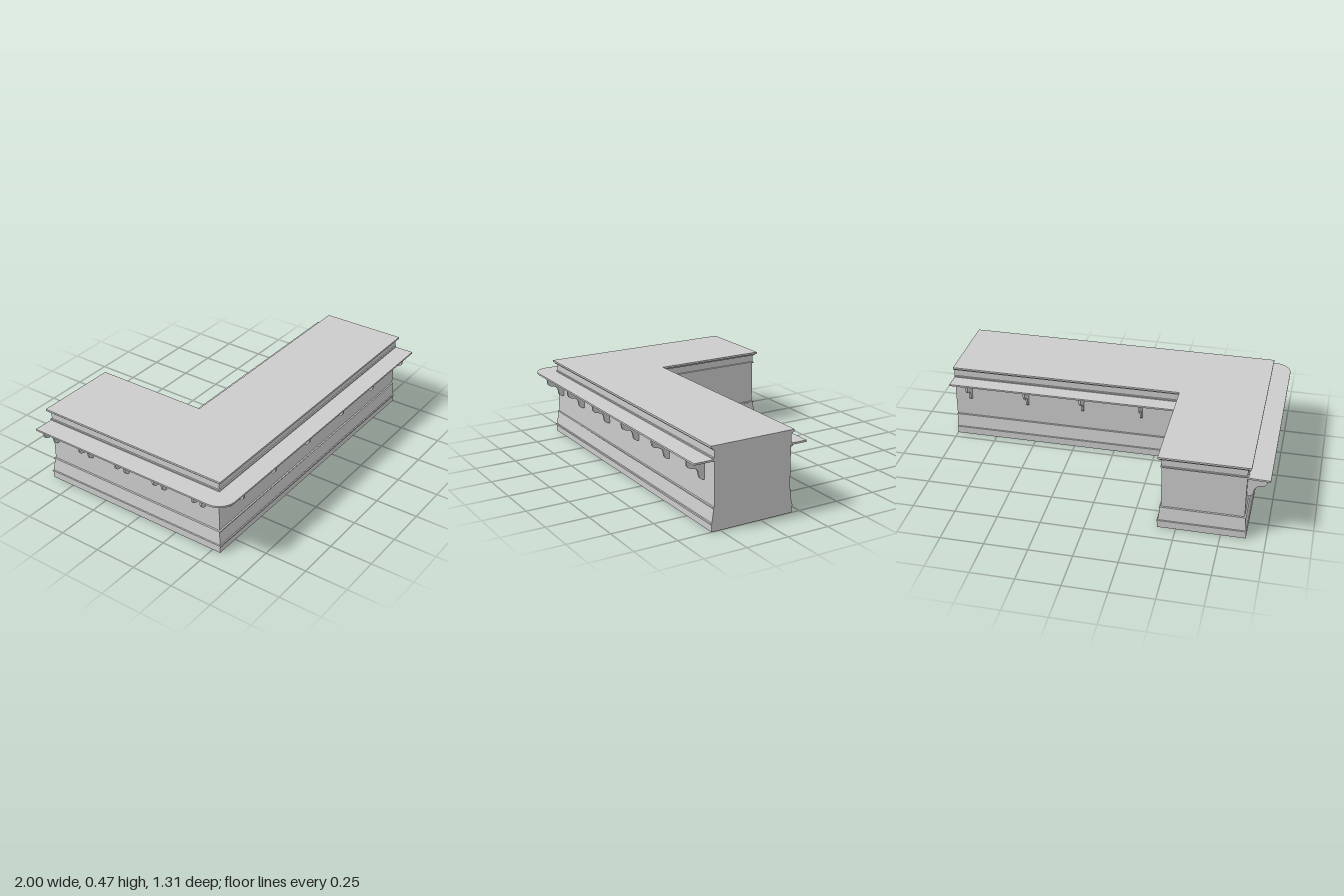
import * as THREE from 'three';

const material = new THREE.MeshStandardMaterial({ color: 0xcccccc });
const ledgeY = 0.383, ledgeThickness = 0.01;

function add(parent, geometry, name) {
  const mesh = new THREE.Mesh(geometry, material);
  mesh.name = name;
  parent.add(mesh);
  return mesh;
}

// Moulding profile: height and outward offset from the wall plane
const profile = [
  [0, 0.015], [0.036, 0.015], [0.038, 0.019], [0.047, 0.019], [0.05, 0.014],
  [0.124, 0.004], [0.126, 0.008], [0.133, 0.008], [0.135, 0],
  [0.392, 0], [0.394, 0.007], [0.401, 0.007], [0.403, 0.001],
  [0.443, 0.001], [0.446, 0.011], [0.452, 0.012], [0.456, 0.021], [0.467, 0.021]
];

// L-shaped wall outline pushed out by an offset; the x = 1 end stays flat
function outline(o) {
  return [
    [-0.875 - o, 0.535 + o], [1, 0.535 + o], [1, 0.065 - o],
    [-0.411 + o, 0.065 - o], [-0.411 + o, -0.633 - o], [-0.875 - o, -0.633 - o]
  ];
}

// Counter body: mitred rings joined level by level, closed top and bottom
function counterGeometry() {
  const positions = [];
  const tri = (a, b, c) => positions.push(...a, ...b, ...c);
  const rings = profile.map(([y, o]) => outline(o).map(([x, z]) => [x, y, z]));
  for (let k = 0; k < rings.length - 1; k++) {
    const low = rings[k], high = rings[k + 1];
    for (let i = 0; i < 6; i++) {
      const j = (i + 1) % 6;
      tri(low[i], low[j], high[j]);
      tri(low[i], high[j], high[i]);
    }
  }
  const top = rings[rings.length - 1], base = rings[0];
  for (const [a, b, c] of [[0, 1, 2], [0, 2, 3], [0, 3, 4], [0, 4, 5]]) {
    tri(top[a], top[b], top[c]);
    tri(base[a], base[c], base[b]);
  }
  const geometry = new THREE.BufferGeometry();
  geometry.setAttribute('position', new THREE.Float32BufferAttribute(positions, 3));
  geometry.computeVertexNormals();
  return geometry;
}

// Flat slab from a plan shape drawn as (x, -z)
function slab(shape) {
  return new THREE.ExtrudeGeometry(shape, { depth: ledgeThickness, bevelEnabled: false, curveSegments: 8 })
    .rotateX(-Math.PI / 2)
    .translate(0, ledgeY, 0);
}

// Outer ledge wrapping the front and left side with one rounded corner
function outerLedge() {
  const s = new THREE.Shape();
  s.moveTo(1, -0.535);
  s.lineTo(-0.875, -0.535);
  s.lineTo(-0.875, 0.636);
  s.lineTo(-1, 0.641);
  s.lineTo(-1, -0.555);
  s.absarc(-0.9, -0.555, 0.1, Math.PI, Math.PI * 1.5, false);
  s.lineTo(1, -0.655);
  s.closePath();
  return slab(s);
}

// Scrolled bracket side outline: x is reach from the wall, y is height
function bracketGeometry() {
  const s = new THREE.Shape();
  s.moveTo(-0.003, ledgeY);
  s.lineTo(0.108, ledgeY);
  s.lineTo(0.108, 0.37);
  s.bezierCurveTo(0.108, 0.34, 0.1, 0.33, 0.07, 0.327);
  s.bezierCurveTo(0.045, 0.322, 0.037, 0.308, 0.035, 0.285);
  s.bezierCurveTo(0.034, 0.265, 0.022, 0.256, -0.003, 0.255);
  s.closePath();
  return new THREE.ExtrudeGeometry(s, { depth: 0.012, bevelEnabled: false, curveSegments: 6 })
    .translate(0, 0, -0.006);
}

export function createModel() {
  const model = new THREE.Group();
  model.name = 'counter';
  add(model, counterGeometry(), 'counterBody');
  add(model, outerLedge(), 'outerLedge');

  // Inner ledge behind the long arm
  const inner = new THREE.BoxGeometry(1.411, ledgeThickness, 0.1);
  inner.translate(0.2945, ledgeY + ledgeThickness / 2, 0.015);
  add(model, inner, 'innerLedge');

  // Brackets under the ledges, turned to face away from their wall
  const shape = bracketGeometry();
  const place = (name, x, z, turn, reach = 1) => {
    const bracket = add(model, shape, name);
    bracket.position.set(x, 0, z);
    bracket.rotation.y = turn;
    bracket.scale.x = reach;
  };
  for (const x of [-0.8, -0.505, -0.165, 0.195, 0.54, 0.9]) {
    place('frontBracket', x, 0.535, -Math.PI / 2);
    if (x > -0.4) place('innerBracket', x, 0.065, Math.PI / 2, 0.8);
  }
  for (let i = 0; i < 5; i++) place('sideBracket', -0.875, -0.6 + i * 0.26, Math.PI);
  return model;
}
